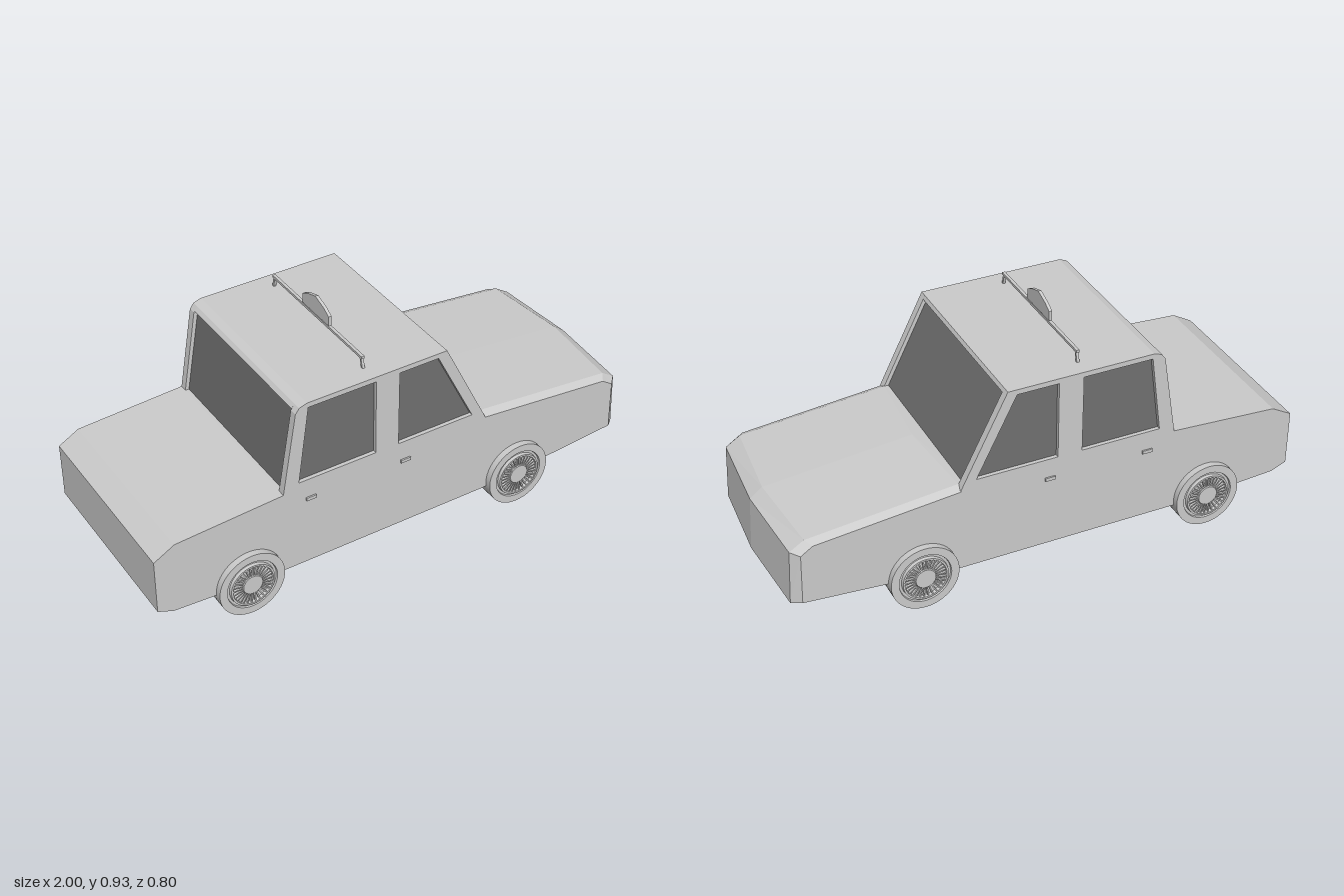
import * as THREE from 'three';
import { toCreasedNormals } from 'three/addons/utils/BufferGeometryUtils.js';

const paint = new THREE.MeshStandardMaterial({ color: 0xcccccc, side: THREE.DoubleSide });
const dark = new THREE.MeshStandardMaterial({ color: 0x707070 });

function add(parent, name, geometry, material = paint) {
  const mesh = new THREE.Mesh(geometry, material);
  mesh.name = name;
  parent.add(mesh);
  return mesh;
}

const toShape = (pts) => new THREE.Shape(pts.map(([x, y]) => new THREE.Vector2(x, y)));

// Extrude a side outline (x, y) between two z positions
function slab(pts, z0, z1, holes = []) {
  const shape = toShape(pts);
  shape.holes = holes.map(toShape);
  return new THREE.ExtrudeGeometry(shape, { depth: z1 - z0, bevelEnabled: false }).translate(0, 0, z0);
}

// Lower body: side profiles lofted across z, with a pointed nose and chamfered front corners
function bodyGeometry() {
  const profile = (nose) => [[-1, 0.16], [-1, 0.38], [-0.92, 0.425], [-0.5, 0.45], [0.3, 0.455],
    ...nose, [0.35, 0.11], [-0.55, 0.11], [-0.94, 0.135]];
  const outer = profile([[0.35, 0.442], [0.89, 0.39], [0.935, 0.36], [0.94, 0.16]]);
  const inner = profile([[0.34, 0.457], [0.91, 0.402], [0.965, 0.367], [0.975, 0.15]]);
  const centre = profile([[0.37, 0.46], [0.94, 0.406], [0.988, 0.37], [1, 0.155]]);
  const columns = [outer, inner, centre, inner, outer];
  const zs = [-0.37, -0.34, 0, 0.34, 0.37];
  const pos = [];
  const put = (j, i) => pos.push(...columns[j][i], zs[j]);
  const n = outer.length;
  for (let j = 0; j < 4; j++) {
    for (let i = 0; i < n; i++) {
      const k = (i + 1) % n;
      put(j, i); put(j + 1, i); put(j + 1, k);
      put(j, i); put(j + 1, k); put(j, k);
    }
  }
  const flat = outer.map(([x, y]) => new THREE.Vector2(x, y));
  for (const [a, b, c] of THREE.ShapeUtils.triangulateShape(flat, [])) {
    put(4, a); put(4, b); put(4, c);
    put(0, a); put(0, c); put(0, b);
  }
  const geometry = new THREE.BufferGeometry();
  geometry.setAttribute('position', new THREE.Float32BufferAttribute(pos, 3));
  geometry.computeVertexNormals();
  return geometry;
}

function makeCabin() {
  const cabin = new THREE.Group();
  cabin.name = 'cabin';
  const outline = [[-0.5, 0.445], [0.345, 0.445], [0.165, 0.805], [-0.4, 0.805], [-0.43, 0.795], [-0.445, 0.775]];
  const rearWindow = [[-0.437, 0.478], [-0.395, 0.785], [-0.125, 0.785], [-0.125, 0.478]];
  const frontWindow = [[-0.03, 0.478], [-0.03, 0.785], [0.13, 0.785], [0.285, 0.478]];
  const windows = [rearWindow, frontWindow];
  add(cabin, 'leftCabinSide', slab(outline, 0.34, 0.37, windows));
  add(cabin, 'rightCabinSide', slab(outline, -0.37, -0.34, windows));
  add(cabin, 'roof', slab([[-0.442, 0.78], [0.172, 0.79], [0.165, 0.805], [-0.4, 0.805], [-0.43, 0.795]], -0.34, 0.34));
  // Recessed glass seen through every window opening
  add(cabin, 'glass', slab([[-0.485, 0.447], [0.327, 0.447], [0.155, 0.792], [-0.428, 0.785]], -0.355, 0.355), dark);
  return cabin;
}

// Wheel with a stepped rim and a ring of fine spokes, facing +z
function makeWheel(name) {
  const wheel = new THREE.Group();
  wheel.name = name;
  const section = [[0, 0.268], [0.13, 0.268], [0.13, 0.395], [0.1, 0.395], [0.098, 0.388], [0.089, 0.388],
    [0.087, 0.4], [0.08, 0.4], [0.077, 0.388], [0, 0.388]].map(([r, y]) => new THREE.Vector2(r, y));
  const tyre = new THREE.LatheGeometry(section, 48).rotateX(Math.PI / 2);
  add(wheel, 'tyreAndRim', toCreasedNormals(tyre, 0.5));
  add(wheel, 'hubCap', new THREE.CylinderGeometry(0.038, 0.044, 0.012, 32).rotateX(Math.PI / 2).translate(0, 0, 0.393));
  const spokes = 30;
  for (let i = 0; i < spokes; i++) {
    const spoke = new THREE.BoxGeometry(0.038, 0.005, 0.01).translate(0.06, 0, 0.392);
    add(wheel, 'spoke', spoke.rotateZ((i / spokes) * Math.PI * 2));
  }
  return wheel;
}

// Thin roof bar on two legs carrying a peaked sign plate
function makeRoofSign() {
  const sign = new THREE.Group();
  sign.name = 'roofSign';
  const x = -0.135;
  add(sign, 'roofBar', new THREE.BoxGeometry(0.012, 0.01, 0.6).translate(x, 0.847, 0));
  for (const s of [-1, 1]) {
    const leg = add(sign, 'barLeg', new THREE.BoxGeometry(0.01, 0.044, 0.009));
    leg.position.set(x, 0.824, s * 0.295);
    leg.rotation.x = -s * 0.25;
  }
  const plate = slab([[-0.088, 0.855], [0.088, 0.855], [0.088, 0.893], [0.055, 0.912], [0, 0.93],
    [-0.055, 0.912], [-0.088, 0.893]], -0.006, 0.006);
  add(sign, 'signPlate', plate.rotateY(Math.PI / 2).translate(x, 0, 0));
  add(sign, 'signMount', new THREE.BoxGeometry(0.008, 0.008, 0.06).translate(x, 0.853, 0));
  return sign;
}

export function createModel() {
  const car = new THREE.Group();
  car.name = 'car';
  add(car, 'body', bodyGeometry());
  car.add(makeCabin(), makeRoofSign());

  for (const s of [-1, 1]) {
    const side = s > 0 ? 'left' : 'right';
    for (const [end, x] of [['Rear', -0.645], ['Front', 0.495]]) {
      const wheel = makeWheel(`${side}${end}Wheel`);
      wheel.position.set(x, 0.132, 0);
      if (s < 0) wheel.rotation.y = Math.PI;
      car.add(wheel);
    }
    // Door handles
    for (const x of [-0.39, 0]) {
      add(car, `${side}DoorHandle`, new THREE.BoxGeometry(0.04, 0.013, 0.012).translate(x, 0.395, s * 0.37));
    }
  }
  return car;
}
